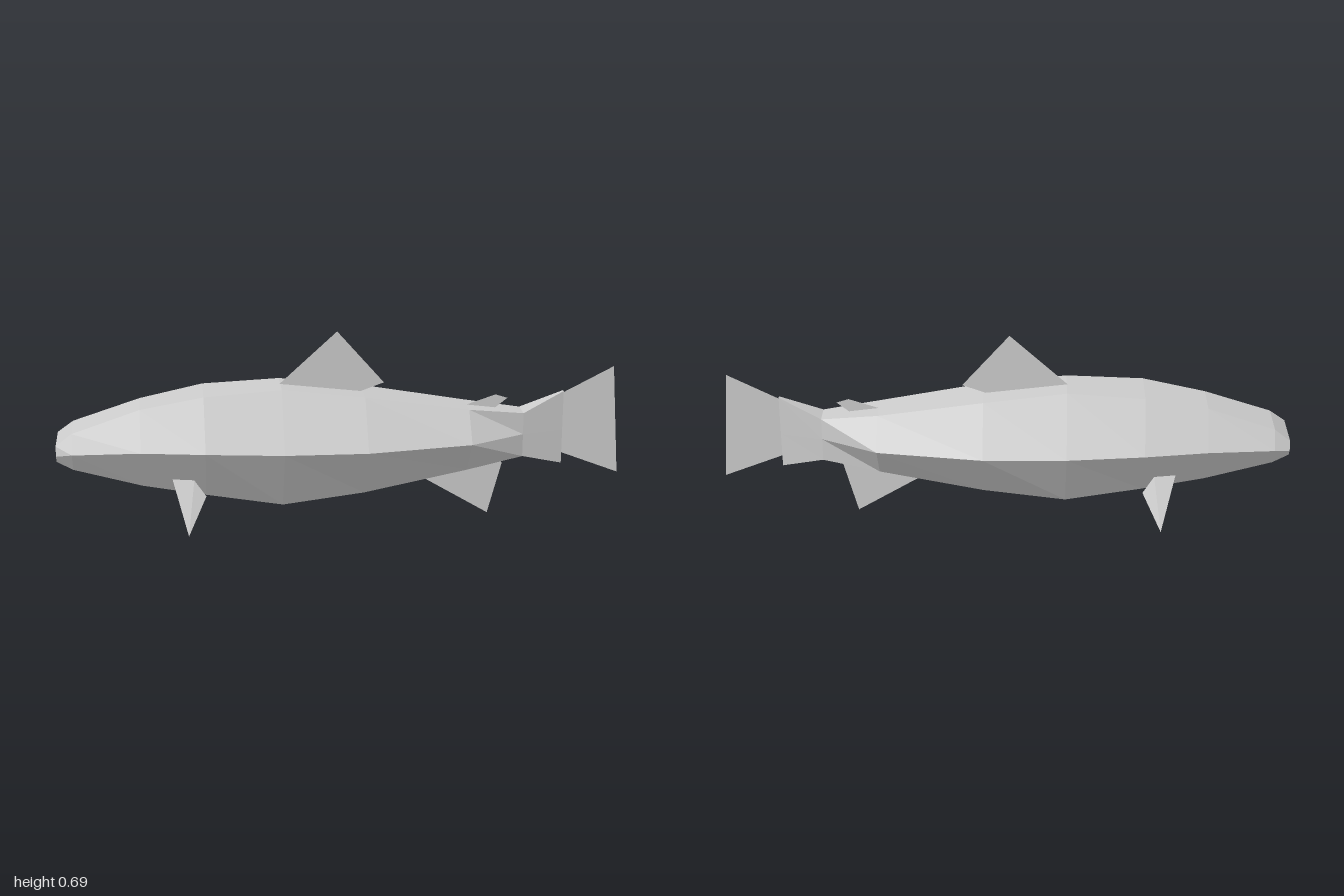
import * as THREE from 'three';

// Body sections from nose to tail: x, top y, middle y, bottom y, then half widths at each
const SECTIONS = [
  [-1.0, 0.337, 0.302, 0.278, 0.080, 0.086, 0.070],
  [-0.945, 0.378, 0.312, 0.245, 0.074, 0.108, 0.066],
  [-0.71, 0.455, 0.325, 0.175, 0.069, 0.152, 0.060],
  [-0.49, 0.497, 0.322, 0.135, 0.083, 0.181, 0.068],
  [-0.22, 0.511, 0.312, 0.085, 0.073, 0.192, 0.063],
  [0.07, 0.475, 0.308, 0.115, 0.079, 0.190, 0.053],
  [0.44, 0.413, 0.308, 0.185, 0.062, 0.139, 0.049],
  [0.64, 0.386, 0.308, 0.225, 0.039, 0.040, 0.039],
  [0.79, 0.453, 0.310, 0.183, 0.006, 0.006, 0.006],
];

// Hexagonal ring around one section
function ring([x, yTop, yMid, yBot, zTop, zMid, zBot]) {
  return [
    [x, yTop, zTop], [x, yMid, zMid], [x, yBot, zBot],
    [x, yBot, -zBot], [x, yMid, -zMid], [x, yTop, -zTop],
  ];
}

function geometryFrom(points) {
  const g = new THREE.BufferGeometry();
  g.setAttribute('position', new THREE.Float32BufferAttribute(points.flat(), 3));
  g.computeVertexNormals();
  return g;
}

// Loft through the rings, closed at nose and tail
function bodyGeometry() {
  const rings = SECTIONS.map(ring);
  const pts = [];
  for (let i = 0; i < rings.length - 1; i++) {
    for (let k = 0; k < 6; k++) {
      const n = (k + 1) % 6;
      const a = rings[i][k], b = rings[i][n], c = rings[i + 1][n], d = rings[i + 1][k];
      pts.push(a, b, c, a, c, d);
    }
  }
  const first = rings[0], last = rings[rings.length - 1];
  for (let k = 1; k < 5; k++) {
    pts.push(first[0], first[k + 1], first[k]);
    pts.push(last[0], last[k], last[k + 1]);
  }
  return geometryFrom(pts);
}

// Flat fin on the centre plane from an x, y outline
function finGeometry(outline) {
  return new THREE.ShapeGeometry(new THREE.Shape(outline.map(([x, y]) => new THREE.Vector2(x, y))));
}

export function createModel() {
  const group = new THREE.Group();
  const grey = new THREE.MeshStandardMaterial({ color: 0xcccccc, flatShading: true, side: THREE.DoubleSide });
  grey.name = 'light grey';

  const add = (name, geometry) => {
    const mesh = new THREE.Mesh(geometry, grey);
    mesh.name = name;
    group.add(mesh);
  };

  add('body', bodyGeometry());

  // Centre-line fins
  add('dorsalFin', finGeometry([[-0.23, 0.505], [-0.02, 0.695], [0.145, 0.505], [0.06, 0.475]]));
  add('adiposeFin', finGeometry([[0.44, 0.413], [0.545, 0.447], [0.588, 0.433], [0.54, 0.395]]));
  add('analFin', finGeometry([[0.27, 0.155], [0.525, 0.0], [0.575, 0.19], [0.55, 0.21]]));
  add('tailFin', finGeometry([[0.787, 0.445], [0.97, 0.538], [1.0, 0.138], [0.787, 0.222]]));

  // Paired pectoral fins, slanting down and outwards
  for (const [name, s] of [['frontPectoralFin', 1], ['backPectoralFin', -1]]) {
    const a = [-0.605, 0.21, s * 0.104], b = [-0.53, 0.205, s * 0.108];
    const c = [-0.49, 0.15, s * 0.125], d = [-0.555, 0.03, s * 0.192];
    add(name, geometryFrom([a, d, b, b, d, c]));
  }
  return group;
}
